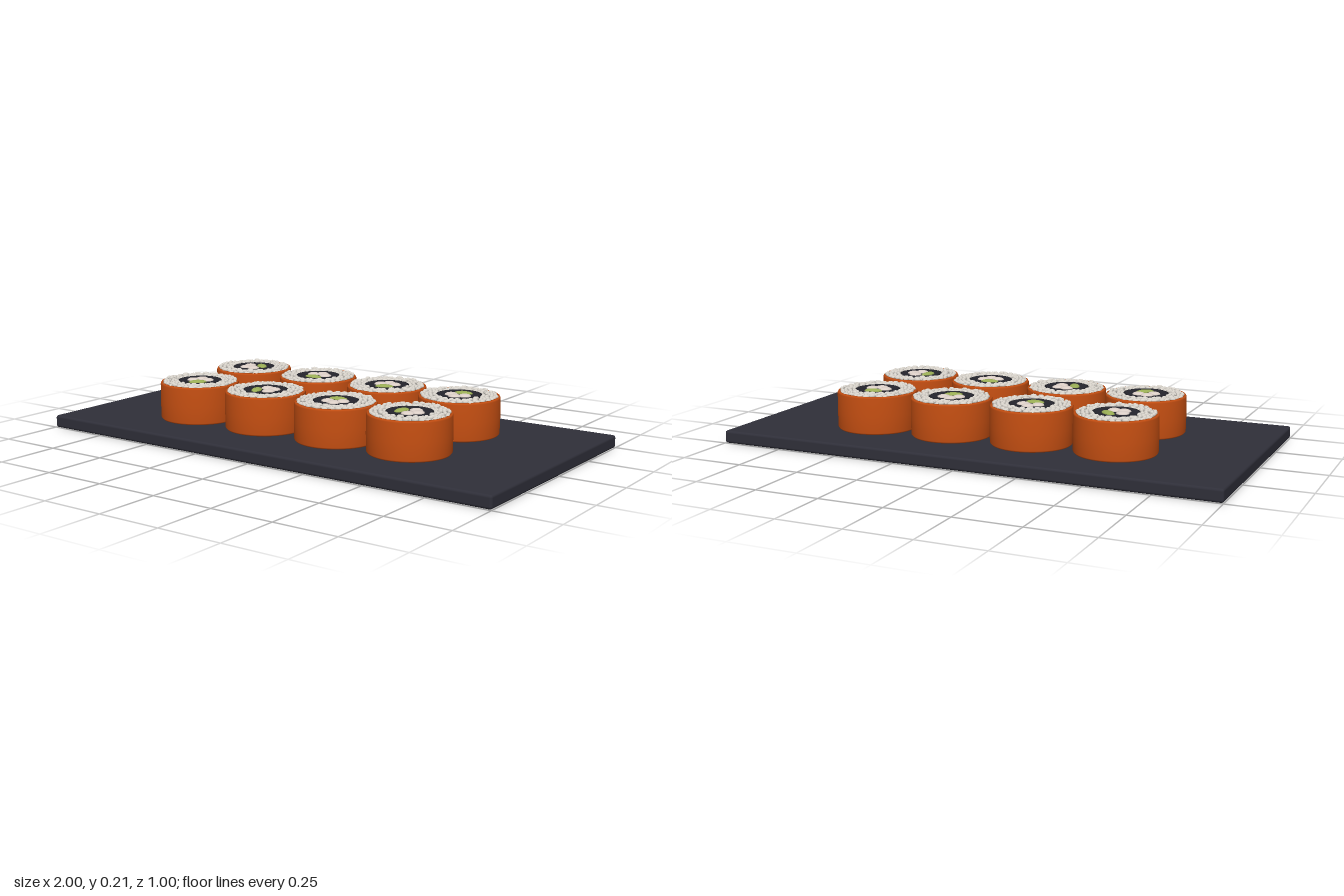
import * as THREE from 'three';
import { mergeGeometries } from 'three/addons/utils/BufferGeometryUtils.js';
import { RoundedBoxGeometry } from 'three/addons/geometries/RoundedBoxGeometry.js';

const material = (name, color) => {
  const m = new THREE.MeshStandardMaterial({ color });
  m.name = name;
  return m;
};

// small seeded generator, returns values in -1..1
function seeded(seed) {
  let s = seed * 7919 + 17;
  return () => {
    s = (s * 16807) % 2147483647;
    return (s / 2147483647) * 2 - 1;
  };
}

// lathe from [radius, y] pairs, listed bottom to top along the outside
const lathe = (pairs) =>
  new THREE.LatheGeometry(pairs.map(([r, y]) => new THREE.Vector2(r, y)), 48);

// squashed sphere at a polar position, its long axis along the tangent
function pellet(angle, dist, y, length, height, width, turn = 0, w = 7, h = 5) {
  const g = new THREE.SphereGeometry(1, w, h);
  g.scale(length, height, width);
  g.rotateY(Math.PI / 2 - angle + turn);
  g.translate(Math.cos(angle) * dist, y, Math.sin(angle) * dist);
  return g;
}

export function createModel() {
  const slate = material('slate', 0x2f2f39);
  const salmon = material('salmon orange', 0xc64f12);
  const rice = material('rice white', 0xdad5cd);
  const riceGap = material('rice grey', 0x9c9994);
  const nori = material('seaweed', 0x25252d);
  const filling = material('pale filling', 0xddd0c8);
  const green = material('avocado green', 0x9aae55);

  const model = new THREE.Group();
  const add = (parent, name, geometry, mat) => {
    const mesh = new THREE.Mesh(geometry, mat);
    mesh.name = name;
    parent.add(mesh);
    return mesh;
  };

  // serving board
  const board = add(model, 'servingBoard', new RoundedBoxGeometry(2, 0.05, 1, 2, 0.01), slate);
  board.position.y = 0.028;

  // x, z and direction of the green slice (degrees, clockwise from +x seen from above)
  const layout = [
    [-0.508, -0.183, -50], [-0.172, -0.182, 90], [0.163, -0.182, 75], [0.491, -0.182, -90],
    [-0.5, 0.178, 65], [-0.17, 0.172, 140], [0.168, 0.177, -110], [0.491, 0.177, 180],
  ];

  layout.forEach(([x, z, degrees], i) => {
    const rand = seeded(i + 1);
    const roll = new THREE.Group();
    roll.name = 'roll' + (i + 1);
    roll.position.set(x, 0.053, z);

    // outer wrap with a thin rounded lip
    add(roll, 'salmonWrap', lathe([
      [0, 0], [0.152, 0], [0.157, 0.006], [0.158, 0.07], [0.157, 0.142],
      [0.154, 0.148], [0.147, 0.149], [0.146, 0.14],
    ]), salmon);

    // rice bed and the grains lying on it
    const bed = new THREE.RingGeometry(0.08, 0.15, 48);
    bed.rotateX(-Math.PI / 2);
    bed.translate(0, 0.147, 0);
    add(roll, 'riceBed', bed, riceGap);
    const grains = [];
    [[0.094, 23], [0.109, 27], [0.125, 31], [0.14, 35]].forEach(([r, count]) => {
      for (let k = 0; k < count; k++) {
        const a = ((k + rand() * 0.25) / count) * Math.PI * 2;
        grains.push(pellet(a, r + rand() * 0.003, 0.148 + rand() * 0.003,
          0.0145, 0.0085, 0.0085, rand() * 0.45));
      }
    });
    add(roll, 'riceGrains', mergeGeometries(grains), rice);

    // seaweed core with a slightly raised rim
    add(roll, 'seaweedCore', lathe([
      [0.087, 0.12], [0.087, 0.152], [0.08, 0.153], [0.077, 0.149], [0, 0.149],
    ]), nori);

    // three pale pieces and one green slice
    const a = THREE.MathUtils.degToRad(degrees);
    const pieces = [-1.9, Math.PI, 1.9].map((step, k) =>
      pellet(a + step, k === 1 ? 0.034 : 0.031, 0.149, 0.026, 0.009, 0.025, rand(), 14, 8));
    add(roll, 'fillingPieces', mergeGeometries(pieces), filling);
    add(roll, 'greenSlice',
      pellet(a, 0.034, 0.149, 0.037, 0.009, 0.02, rand() * 0.3, 16, 8), green);

    model.add(roll);
  });

  return model;
}
